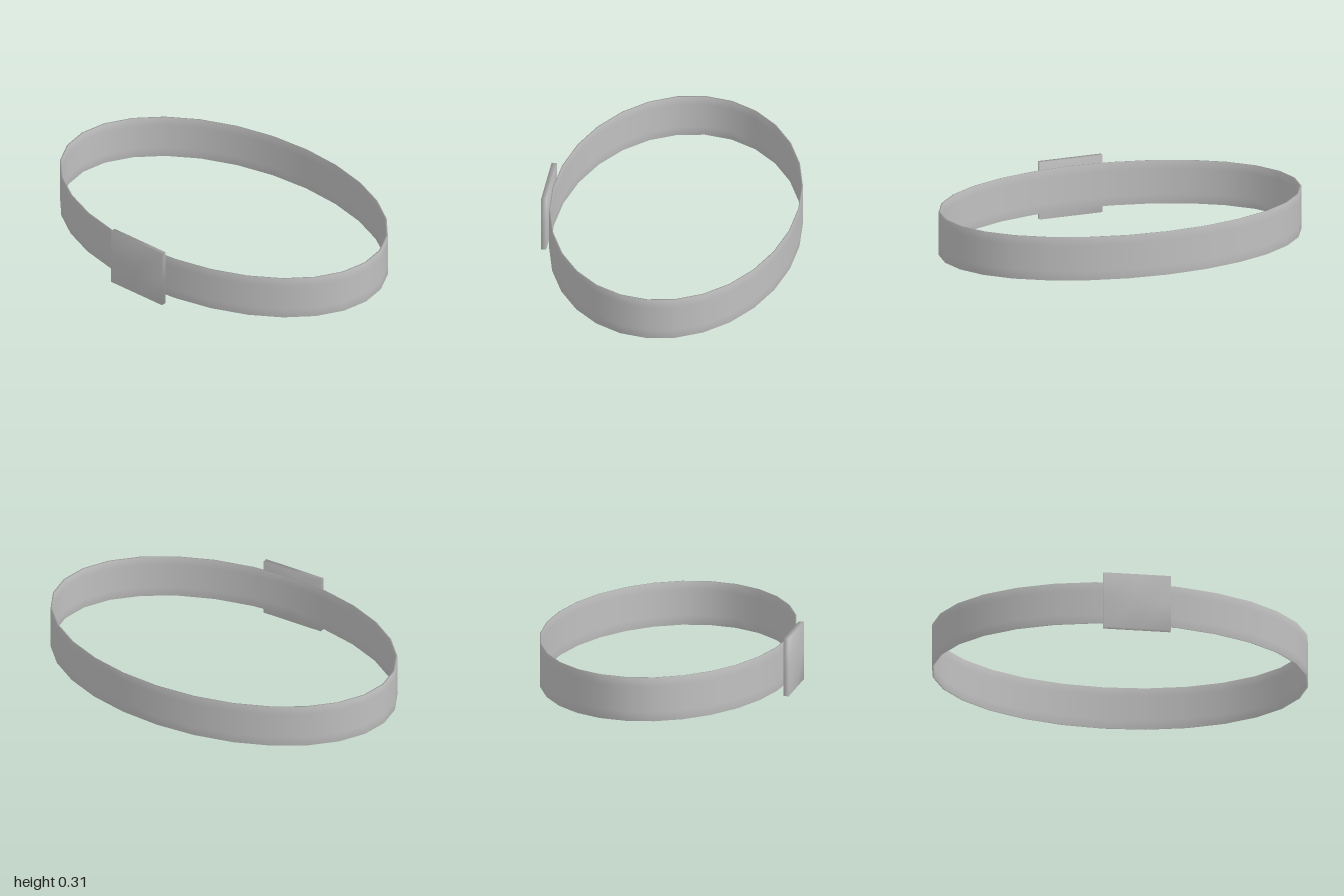
import * as THREE from 'three';
import { mergeVertices } from 'three/addons/utils/BufferGeometryUtils.js';

export function createModel() {
  const group = new THREE.Group();
  const grey = new THREE.MeshStandardMaterial({ color: 0xc0c0c0 });
  grey.name = 'grey';

  // Strap: thin closed band profile swept around, squashed into an oval.
  // Starts mid-height on the inside so the rim normals blend smoothly.
  const inner = 0.99, outer = 1;
  const profile = [
    [inner, 0.16], [inner, 0.09], [inner, 0.04],
    [outer, 0.04], [outer, 0.09], [outer, 0.16], [outer, 0.23], [outer, 0.277],
    [inner, 0.277], [inner, 0.23], [inner, 0.16],
  ].map(([r, y]) => new THREE.Vector2(r, y));
  const strapGeometry = new THREE.LatheGeometry(profile, 28);
  strapGeometry.scale(1, 1, 0.658);
  const strap = new THREE.Mesh(strapGeometry, grey);
  strap.name = 'strap';
  strap.position.z = -0.017;
  group.add(strap);

  // Buckle: flat plate with softly shared normals, just ahead of the strap.
  const plate = new THREE.BoxGeometry(0.358, 0.314, 0.028, 2, 2, 1);
  plate.deleteAttribute('normal');
  plate.deleteAttribute('uv');
  const buckleGeometry = mergeVertices(plate);
  buckleGeometry.computeVertexNormals();
  const buckle = new THREE.Mesh(buckleGeometry, grey);
  buckle.name = 'buckle';
  buckle.position.set(-0.002, 0.157, 0.661);
  group.add(buckle);

  return group;
}
